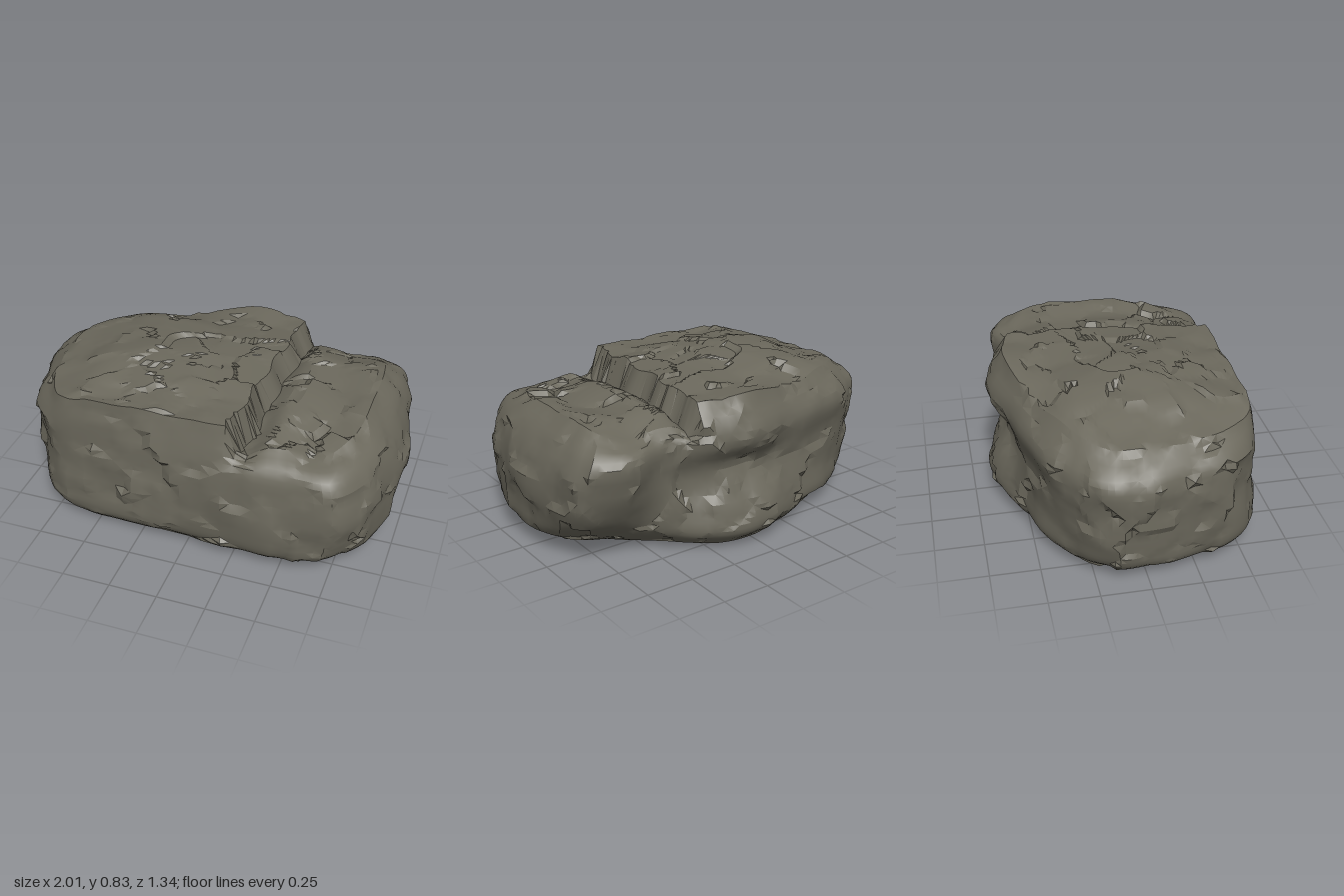
import * as THREE from 'three';
import { toCreasedNormals } from 'three/addons/utils/BufferGeometryUtils.js';

// Horizontal outlines (x, z pairs), from the left end round the front, right end and back
const GROUND = [-.8, 0, -.78, .2, -.73, .38, -.6, .5, -.35, .53, -.1, .54, .2, .55, .44, .54, .6, .5, .7, .4, .78, .24, .8, .07,
  .72, -.08, .62, -.2, .5, -.3, .4, -.38, .3, -.47, .18, -.55, 0, -.57, -.3, -.47, -.55, -.37, -.73, -.25, -.79, -.13];
const LOW = [-.93, 0, -.9, .2, -.84, .41, -.69, .56, -.4, .6, -.1, .62, .2, .64, .48, .64, .7, .6, .83, .47, .92, .26, .95, .02,
  .9, -.13, .8, -.25, .62, -.34, .47, -.44, .35, -.54, .2, -.63, .02, -.66, -.3, -.55, -.6, -.44, -.84, -.3, -.92, -.15];
const BELLY = [-.96, 0, -.92, .2, -.86, .42, -.7, .58, -.4, .61, -.1, .63, .2, .66, .5, .66, .74, .63, .87, .5, .95, .26, .97, 0,
  .94, -.2, .87, -.37, .7, -.44, .5, -.46, .36, -.53, .2, -.62, .02, -.65, -.3, -.55, -.6, -.45, -.85, -.31, -.95, -.17];
const MIDDLE = [-.98, 0, -.94, .2, -.86, .42, -.7, .57, -.4, .6, -.1, .62, .2, .65, .5, .65, .77, .64, .89, .5, .95, .26, .99, 0,
  .96, -.25, .91, -.45, .72, -.55, .51, -.49, .38, -.49, .2, -.55, 0, -.56, -.3, -.53, -.6, -.46, -.86, -.32, -.97, -.18];
const HIGH = [-.98, 0, -.94, .18, -.86, .42, -.7, .56, -.4, .58, -.1, .6, .2, .62, .5, .61, .73, .6, .84, .47, .9, .25, .92, 0,
  .9, -.25, .87, -.47, .72, -.56, .52, -.51, .4, -.54, .25, -.62, .04, -.66, -.3, -.55, -.6, -.48, -.86, -.34, -.98, -.2];
const RIM = [-.85, 0, -.84, .17, -.78, .38, -.66, .54, -.4, .56, -.1, .56, .2, .56, .48, .5, .66, .48, .74, .38, .79, .22, .8, 0,
  .8, -.25, .77, -.38, .68, -.45, .52, -.45, .4, -.47, .24, -.53, .05, -.56, -.28, -.48, -.55, -.38, -.75, -.27, -.84, -.16];

const COLUMNS = 130, SIDE_ROWS = 25, TOP_ROWS = 24, STEP_WIDTH = 0.06;
const { lerp, smoothstep, clamp } = THREE.MathUtils;

function seeded(seed) {
  return () => (seed = (seed * 16807) % 2147483647) / 2147483647;
}

// The tall slab ends in a ragged step above the lower ledge
const stepX = z => 0.26 - 0.05 * clamp(z, -0.3, 0.6) / 0.6 + 0.012 * Math.sin(z * 23);

function topHeight(x, z) {
  const slab = 0.785 + 0.035 * Math.exp(-((x + 0.3) ** 2 + (z - 0.05) ** 2) / 0.06)
    - 0.09 * smoothstep(-x, 0.5, 0.9) - 0.015 * smoothstep(z, 0.2, 0.5)
    - 0.07 * smoothstep(-z, 0.25, 0.5) * smoothstep(-x, -0.1, 0.4);
  const ledge = 0.66 + 0.04 * smoothstep(x, 0.3, 0.41) + 0.01 * Math.cos((x - 0.42) * 17)
    - 0.05 * smoothstep(z, 0, 0.5) - 0.05 * smoothstep(-z, 0.25, 0.48);
  return lerp(slab, ledge, smoothstep(x, stepX(z), stepX(z) + STEP_WIDTH));
}

// Breaks the surface into tilted chips, one per seed point
function chipRule() {
  const random = seeded(4217);
  const chips = Array.from({ length: 480 }, () => ({
    at: new THREE.Vector3(random() * 2 - 1, random() * 0.85, random() * 1.34 - 0.67),
    tilt: new THREE.Vector3(random() - 0.5, random() - 0.5, random() - 0.5).multiplyScalar(0.3),
    offset: (random() - 0.5) * 0.012,
  }));
  const d = new THREE.Vector3();
  return p => {
    let best = chips[0], near = Infinity;
    for (const chip of chips) {
      const dist = chip.at.distanceToSquared(p);
      if (dist < near) { near = dist; best = chip; }
    }
    return clamp(best.offset + d.subVectors(p, best.at).dot(best.tilt), -0.016, 0.014);
  };
}

function ring(outline, heightAt) {
  const points = [];
  for (let i = 0; i < outline.length; i += 2) {
    points.push(new THREE.Vector3(outline[i], 0, outline[i + 1]));
  }
  const curve = new THREE.CatmullRomCurve3(points, true);
  return Array.from({ length: COLUMNS }, (_, i) => {
    const p = curve.getPoint(i / COLUMNS);
    p.y = heightAt(p.x, p.z);
    return p;
  });
}

function rockGeometry() {
  const levels = [
    ring(GROUND, x => 0.015 + 0.012 * x),
    ring(LOW, () => 0.1),
    ring(BELLY, () => 0.22),
    ring(MIDDLE, () => 0.42),
    ring(HIGH, () => 0.59),
    ring(RIM, topHeight),
  ];
  const rows = [];

  // Sides: one smooth upright curve per column
  const uprights = levels[0].map((_, i) => new THREE.CatmullRomCurve3(levels.map(level => level[i])));
  for (let r = 0; r <= SIDE_ROWS; r++) rows.push(uprights.map(c => c.getPoint(r / SIDE_ROWS)));

  // Top: rings shrinking inwards, snapped to either edge of the step
  for (let r = 1; r < TOP_ROWS; r++) {
    rows.push(levels[5].map(p => {
      const k = 1 - r / TOP_ROWS, z = p.z * k, edge = stepX(z);
      let x = p.x * k;
      if (x > edge && x < edge + STEP_WIDTH) x = edge + STEP_WIDTH * Math.round((x - edge) / STEP_WIDTH);
      return new THREE.Vector3(x, topHeight(x, z), z);
    }));
  }

  // Chips push sides outwards and the top upwards
  const chip = chipRule(), out = new THREE.Vector3();
  rows.forEach((row, r) => {
    if (r === 0) return;
    const up = smoothstep(r, SIDE_ROWS * 0.75, SIDE_ROWS + 2);
    for (const p of row) {
      out.set(p.x * 0.7, 0, p.z).normalize().multiplyScalar(1 - up).setY(up);
      p.addScaledVector(out, chip(p));
    }
  });

  const positions = rows.flat().flatMap(p => [p.x, p.y, p.z]);
  const index = [];
  const bottom = positions.length / 3, top = bottom + 1, last = (rows.length - 1) * COLUMNS;
  positions.push(0, 0.008, 0, 0, topHeight(0, 0), 0);
  for (let i = 0; i < COLUMNS; i++) {
    const j = (i + 1) % COLUMNS;
    for (let r = 0; r < rows.length - 1; r++) {
      const a = r * COLUMNS + i, b = r * COLUMNS + j, c = b + COLUMNS, d = a + COLUMNS;
      if ((i + r) % 2) index.push(a, b, c, a, c, d);
      else index.push(a, b, d, b, c, d);
    }
    index.push(bottom, j, i, top, last + i, last + j);
  }
  const geometry = new THREE.BufferGeometry();
  geometry.setAttribute('position', new THREE.Float32BufferAttribute(positions, 3));
  geometry.setIndex(index);
  return toCreasedNormals(geometry, 0.4);
}

export function createModel() {
  const stone = new THREE.MeshStandardMaterial({ color: 0x6b685c });
  stone.name = 'stone';
  const rock = new THREE.Mesh(rockGeometry(), stone);
  rock.name = 'rock';
  const model = new THREE.Group();
  model.name = 'boulder';
  model.add(rock);
  return model;
}
